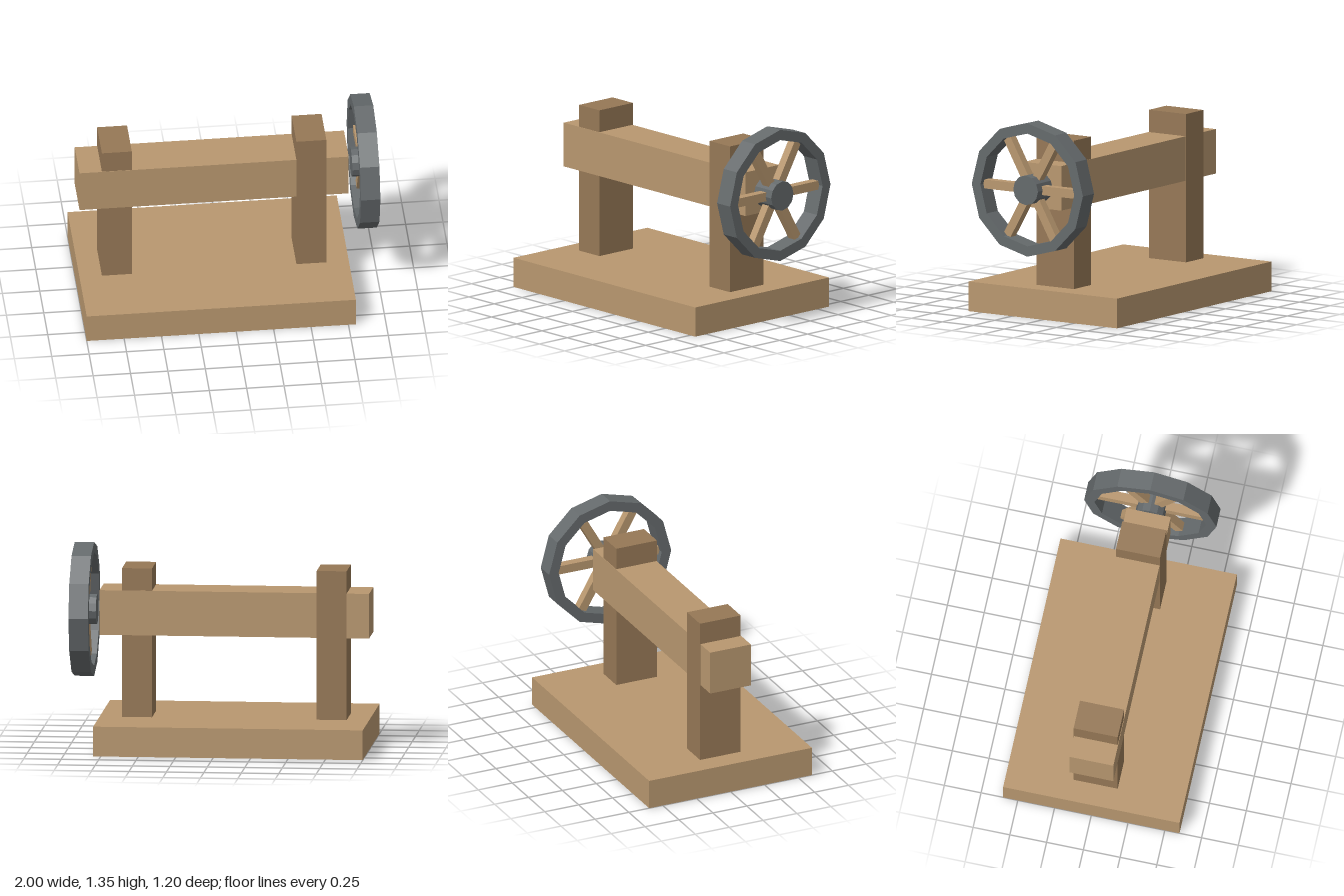
import * as THREE from 'three';

const material = (color) => new THREE.MeshStandardMaterial({ color, flatShading: true });

export function createModel() {
  const model = new THREE.Group();
  const wood = material(0xb8976f);
  const darkWood = material(0x967856);
  const iron = material(0x656a6c);

  function add(parent, name, geometry, mat, x = 0, y = 0, z = 0) {
    const mesh = new THREE.Mesh(geometry, mat);
    mesh.name = name;
    mesh.position.set(x, y, z);
    parent.add(mesh);
    return mesh;
  }

  // Wooden frame: base slab, two posts and the cross beam
  add(model, 'base', new THREE.BoxGeometry(1.8, 0.2, 1.2), wood, -0.1, 0.1, 0);
  add(model, 'beam', new THREE.BoxGeometry(1.8, 0.3, 0.3), wood, -0.1, 0.9, 0);
  // Posts sit a hair off centre so their faces stay clear of the beam's
  add(model, 'rightPost', new THREE.BoxGeometry(0.2, 1, 0.3), darkWood, -0.75, 0.7, -0.003);
  add(model, 'leftPost', new THREE.BoxGeometry(0.2, 1, 0.3), darkWood, 0.55, 0.7, 0.003);

  // Hand wheel, turning about the x axis
  const wheel = new THREE.Group();
  wheel.name = 'wheel';
  wheel.position.set(0.915, 0.9, 0);
  model.add(wheel);

  // Twelve-sided rim
  const polygon = (radius) => Array.from({ length: 12 }, (_, i) => {
    const a = (i * Math.PI) / 6;
    return new THREE.Vector2(radius * Math.cos(a), radius * Math.sin(a));
  });
  const ring = new THREE.Shape(polygon(0.45));
  ring.holes.push(new THREE.Path(polygon(0.38)));
  const rim = new THREE.ExtrudeGeometry(ring, { depth: 0.13, bevelEnabled: false });
  rim.translate(0, 0, -0.065).rotateY(Math.PI / 2);
  add(wheel, 'rim', rim, iron);

  // Hub
  const hub = new THREE.CylinderGeometry(0.1, 0.1, 0.17, 12).rotateZ(Math.PI / 2);
  add(wheel, 'hub', hub, iron);

  // Six spokes, from inside the hub to the rim
  const spoke = new THREE.BoxGeometry(0.06, 0.06, 0.33).translate(0, 0, 0.215);
  for (let i = 0; i < 6; i++) {
    add(wheel, `spoke${i + 1}`, spoke, wood).rotation.x = (i * Math.PI) / 3;
  }

  return model;
}
